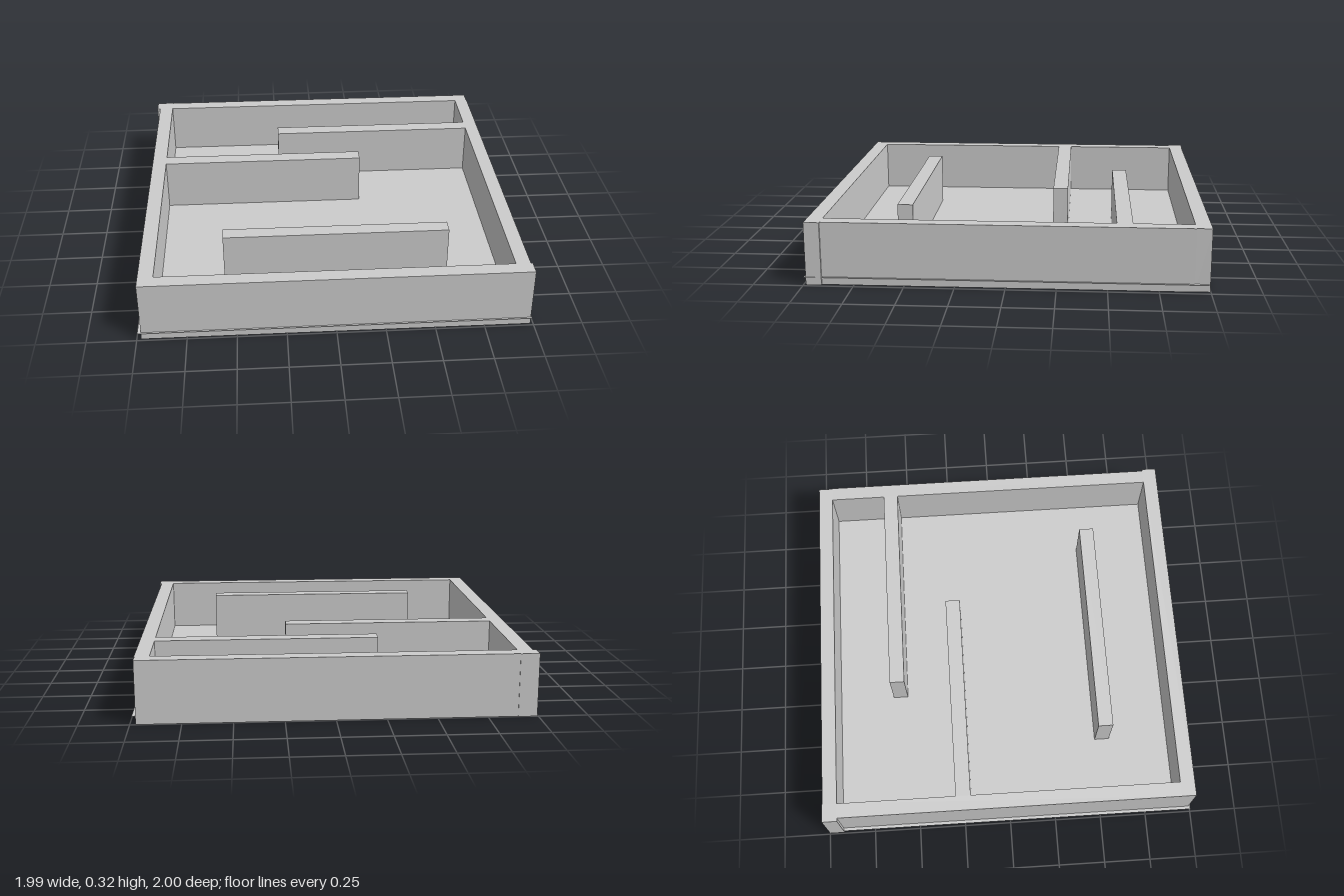
import * as THREE from 'three';

const HEIGHT = 0.32;
const FLOOR_Y = 0.04;

export function createModel() {
  const model = new THREE.Group();
  model.name = 'mazeTray';
  const material = new THREE.MeshStandardMaterial({ color: 0xcccccc, flatShading: true });

  // Upright wall given by its footprint, standing on the ground
  function addWall(name, x0, x1, z0, z1) {
    const wall = new THREE.Mesh(new THREE.BoxGeometry(x1 - x0, HEIGHT, z1 - z0), material);
    wall.position.set((x0 + x1) / 2, HEIGHT / 2, (z0 + z1) / 2);
    wall.name = name;
    model.add(wall);
  }

  // Outer walls, slightly uneven at the corners
  addWall('backWall', -0.9, 0.972, -0.997, -0.92);
  addWall('backCorner', -0.995, -0.9, -1, -0.92);
  addWall('rightSideWall', -0.978, -0.9, -0.92, 0.91);
  addWall('leftSideWall', 0.9, 0.975, -0.92, 0.91);
  addWall('frontWall', -0.978, 0.985, 0.91, 0.988);

  // Inner partitions: one from each side, one free-standing
  addWall('backPartition', -0.245, 0.9, -0.62, -0.54);
  addWall('middlePartition', -0.9, 0.22, -0.29, -0.21);
  addWall('frontPartition', -0.565, 0.618, 0.505, 0.585);

  // Thin floor sheet, raised a little and just peeking out past the walls
  const floorMaterial = material.clone();
  floorMaterial.side = THREE.DoubleSide;
  const floor = new THREE.Mesh(new THREE.PlaneGeometry(1.985, 1.988).rotateX(-Math.PI / 2), floorMaterial);
  floor.position.set(-0.0025, FLOOR_Y, 0.004);
  floor.name = 'floor';
  model.add(floor);

  return model;
}
